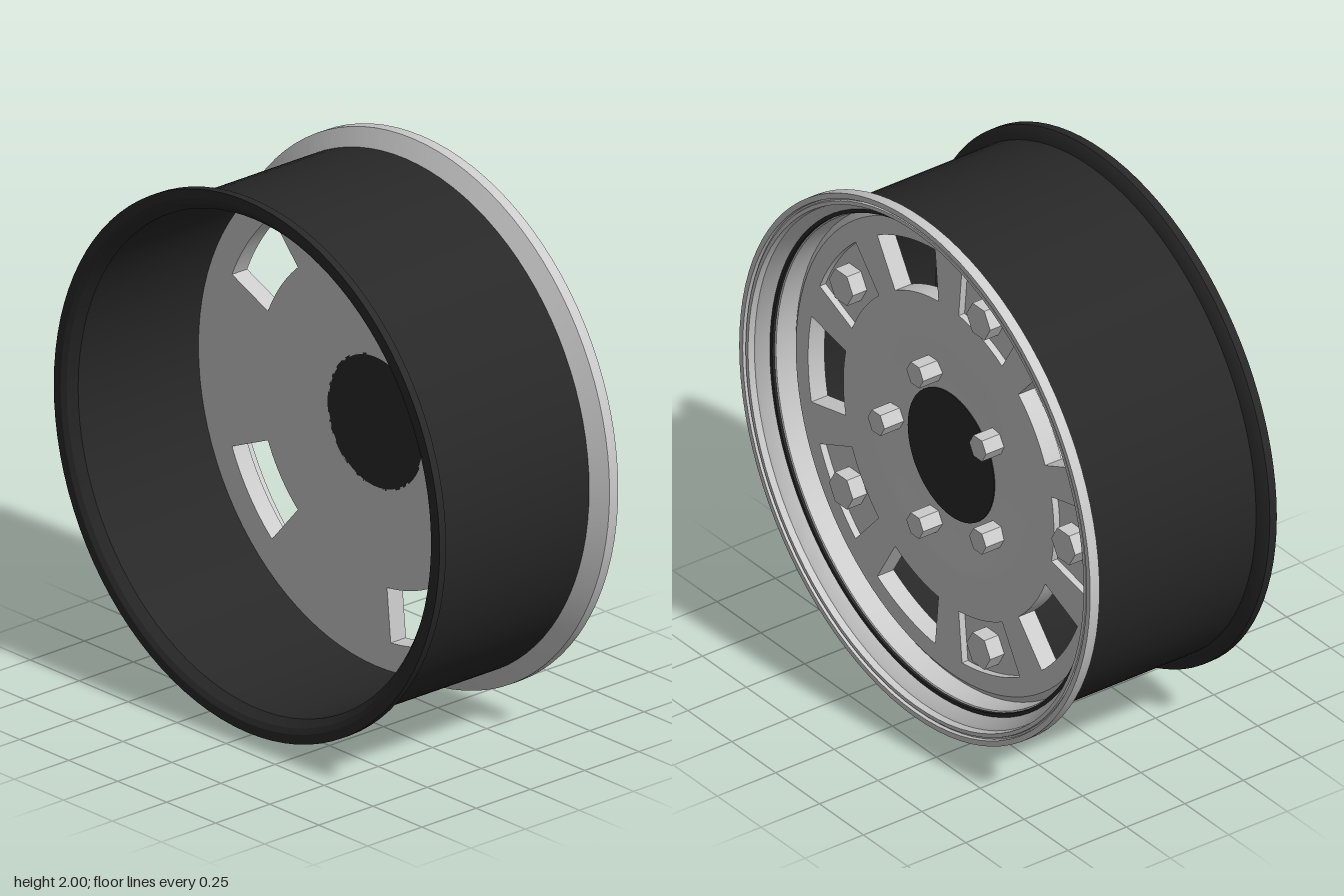
import * as THREE from 'three';
import { toCreasedNormals } from 'three/addons/utils/BufferGeometryUtils.js';

const FACE = 0.26;   // front plane of the wheel disc along the axle
const BACK = 0.19;   // rear plane of the wheel disc
const POCKET = 0.235; // floor of the shallow pockets
const HALF = THREE.MathUtils.degToRad(12.5); // half angle of a window

const metal = new THREE.MeshStandardMaterial({ color: 0xcccccc });
const black = new THREE.MeshStandardMaterial({ color: 0x282828 });

// Ring turned around the z axle from closed [radius, z] profile points
function turned(name, profile, material) {
  const points = [...profile, profile[0]].map(([r, z]) => new THREE.Vector2(r, z));
  const geometry = toCreasedNormals(new THREE.LatheGeometry(points, 96), 0.4);
  geometry.rotateX(Math.PI / 2);
  const mesh = new THREE.Mesh(geometry, material);
  mesh.name = name;
  return mesh;
}

// Wedge-shaped window outline, centred on an angle
function wedge(PathType, angle) {
  const path = new PathType();
  path.absarc(0, 0, 0.8, angle - HALF, angle + HALF, false);
  path.absarc(0, 0, 0.6, angle + HALF, angle - HALF, true);
  path.closePath();
  return path;
}

function plate(name, shape, from, to) {
  const geometry = new THREE.ExtrudeGeometry(shape, {
    depth: to - from, bevelEnabled: false, curveSegments: 48,
  });
  geometry.translate(0, 0, from);
  const mesh = new THREE.Mesh(geometry, metal);
  mesh.name = name;
  return mesh;
}

// Hexagonal bolt head standing on the disc
function bolt(name, radius, from, to, distance, angle) {
  const geometry = new THREE.CylinderGeometry(radius, radius, to - from, 6, 1, false, Math.PI / 2)
    .toNonIndexed();
  geometry.computeVertexNormals();
  geometry.rotateX(Math.PI / 2);
  const mesh = new THREE.Mesh(geometry, metal);
  mesh.name = name;
  mesh.position.set(distance * Math.cos(angle), distance * Math.sin(angle), (from + to) / 2);
  return mesh;
}

export function createModel() {
  const wheel = new THREE.Group();
  wheel.name = 'wheel';

  // Dark barrel with its rear flange
  wheel.add(turned('barrel', [
    [0.905, -0.365], [0.93, -0.395], [0.95, -0.405], [0.985, -0.405], [0.985, -0.375],
    [0.965, -0.36], [0.937, -0.352], [0.937, 0.335], [0.905, 0.335],
  ], black));

  // Bright outer lip, stepping in towards the disc
  wheel.add(turned('outerLip', [
    [0.937, 0.328], [1.0, 0.365], [1.0, 0.405], [0.98, 0.405], [0.978, 0.392],
    [0.972, 0.392], [0.97, 0.4], [0.956, 0.4], [0.953, 0.375], [0.946, 0.37],
    [0.915, 0.33], [0.9, 0.322], [0.895, 0.235], [0.895, BACK], [0.92, BACK], [0.92, 0.328],
  ], metal));

  // Disc with ten window openings and an open middle
  const discShape = new THREE.Shape().absarc(0, 0, 0.87, 0, Math.PI * 2, false);
  discShape.holes.push(new THREE.Path().absarc(0, 0, 0.44, 0, Math.PI * 2, true));
  for (let i = 0; i < 10; i++) discShape.holes.push(wedge(THREE.Path, i * Math.PI / 5));
  wheel.add(plate('disc', discShape, BACK, FACE));

  // Bevelled edge joining disc and lip
  wheel.add(turned('discEdge', [
    [0.865, BACK], [0.908, BACK], [0.9, 0.238], [0.87, FACE], [0.865, FACE],
  ], metal));

  // Slightly dished hub and dark centre cap
  wheel.add(turned('hub', [
    [0.24, BACK], [0.44, BACK], [0.44, FACE], [0.38, 0.256], [0.32, 0.248], [0.24, 0.246],
  ], metal));
  const cap = new THREE.Mesh(new THREE.CylinderGeometry(0.246, 0.246, 0.06, 64), black);
  cap.name = 'centreCap';
  cap.rotation.x = Math.PI / 2;
  cap.position.z = 0.22;
  wheel.add(cap);

  // Every other window is a pocket with a large bolt; small bolts ring the hub
  for (let i = 0; i < 5; i++) {
    const angle = i * Math.PI * 2 / 5;
    wheel.add(plate('pocketFloor', wedge(THREE.Shape, angle), BACK, POCKET));
    wheel.add(bolt('pocketBolt', 0.068, POCKET, 0.295, 0.7, angle));
    wheel.add(bolt('hubBolt', 0.048, 0.24, 0.33, 0.32, angle + Math.PI));
  }

  // Turn the axle from z to x and stand the wheel on the ground
  wheel.rotation.y = Math.PI / 2;
  wheel.position.y = 1;
  const model = new THREE.Group();
  model.name = 'wheelModel';
  model.add(wheel);
  return model;
}
